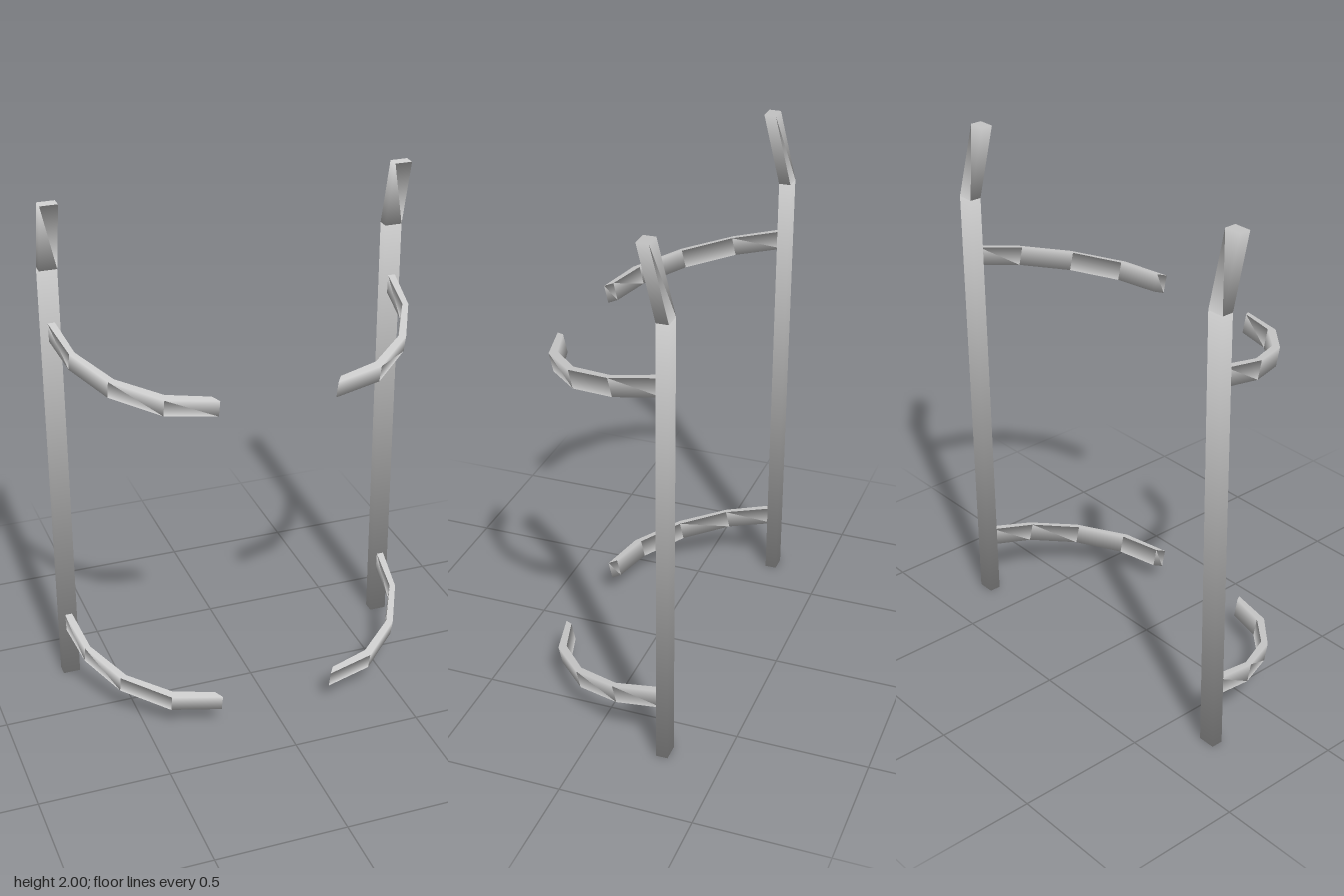
import * as THREE from 'three';

const material = new THREE.MeshStandardMaterial({ color: 0xcccccc });

// Raises a plan outline (x, z) to a slab that leans forward and slopes down towards the front.
// Its normals follow the slab's axis, so the shading runs soft over the edges.
function slab(outline, height, lean, slope) {
  const shape = new THREE.Shape(outline.map(([x, z]) => new THREE.Vector2(x, -z)));
  const geometry = new THREE.ExtrudeGeometry(shape, { depth: height, bevelEnabled: false })
    .rotateX(-Math.PI / 2);
  const { position, normal } = geometry.attributes;
  const axis = new THREE.Vector3(0, 1, lean).normalize();
  for (let i = 0; i < position.count; i++) {
    const y = position.getY(i), z = position.getZ(i);
    const end = y > height / 2 ? 1 : -1;
    position.setY(i, y - slope * z);
    position.setZ(i, z + lean * y);
    normal.setXYZ(i, 0, end * axis.y, end * axis.z);
  }
  return geometry;
}

// Plan of the left post and of the left arm (outer edge to the tip, inner edge back)
const postPlan = [[0.64, -0.302], [0.707, -0.302], [0.707, -0.257], [0.64, -0.257]];
const armPlan = [
  [0.688, -0.275], [0.66, -0.085], [0.57, 0.095], [0.41, 0.237], [0.222, 0.284],
  [0.243, 0.254], [0.4, 0.207], [0.545, 0.085], [0.638, -0.09], [0.66, -0.275],
];

export function createModel() {
  const model = new THREE.Group();
  model.name = 'postsWithArms';
  const bend = 1.735;

  for (const [label, side] of [['left', 1], ['right', -1]]) {
    const add = (name, plan, y, height, lean, slope) => {
      const outline = plan.map(([x, z]) => [side * x, z]);
      const mesh = new THREE.Mesh(slab(outline, height, lean, slope), material);
      mesh.name = label + name;
      mesh.position.y = y;
      model.add(mesh);
    };
    // Straight post with a top bent forward
    add('Post', postPlan, 0, bend, 0, 0);
    add('PostTop', postPlan, bend, 2 - bend, 0.253, 0);
    // Curved arms sloping down to the front
    add('LowerArm', armPlan, 0.142, 0.068, 0.24, 0.24);
    add('UpperArm', armPlan, 1.397, 0.068, 0.24, 0.24);
  }
  return model;
}
